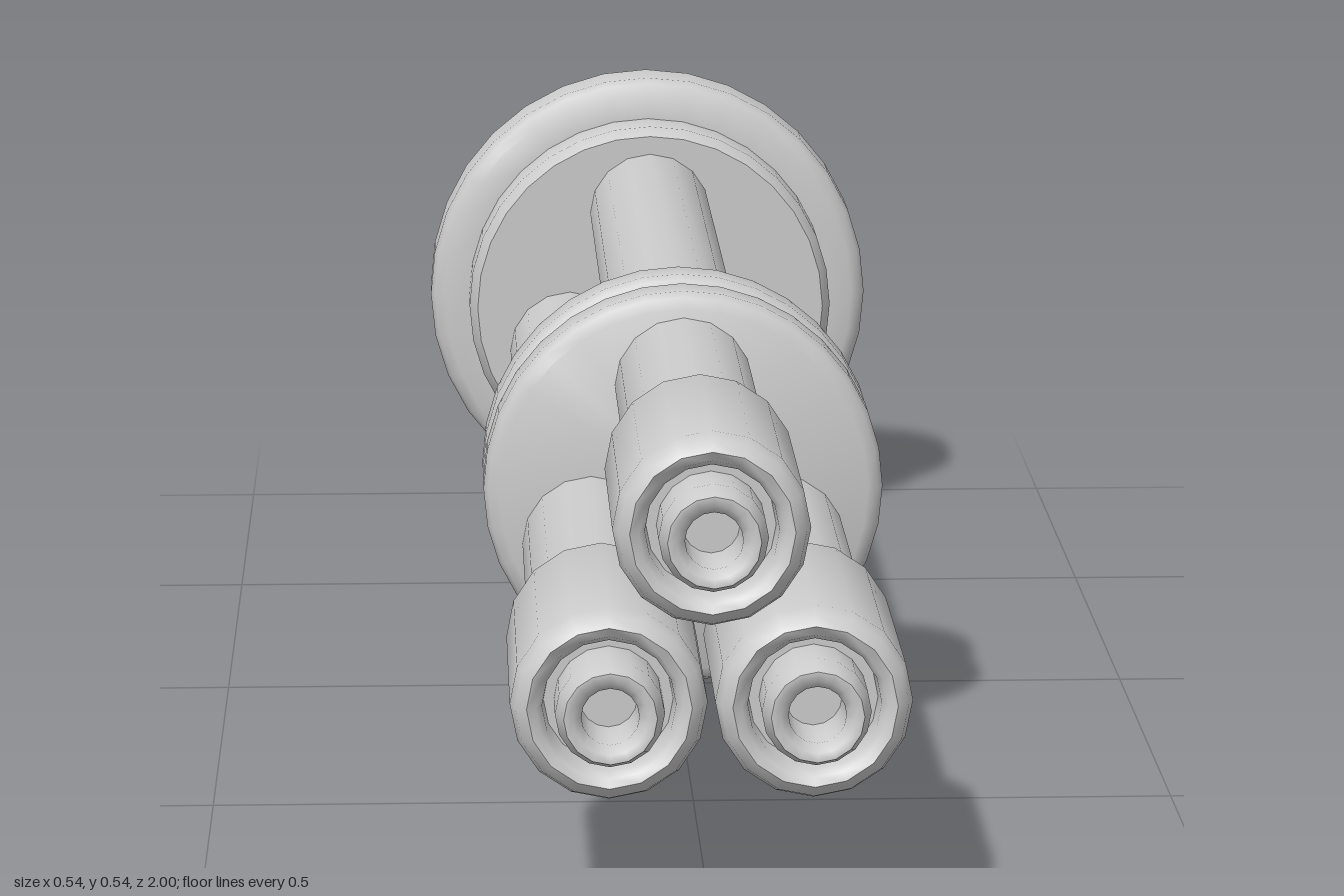
import * as THREE from 'three';
import { toCreasedNormals } from 'three/addons/utils/BufferGeometryUtils.js';

const AXIS_Y = 0.272;
const material = new THREE.MeshStandardMaterial({ color: 0xcccccc });
const shellMaterial = new THREE.MeshStandardMaterial({ color: 0xcccccc, side: THREE.DoubleSide });

// Turned part along z; the profile lists [radius, z] from back to front
function turned(name, profile, sides, mat = material) {
  const points = profile.map(([r, z]) => new THREE.Vector2(r, z));
  const geometry = new THREE.LatheGeometry(points, sides).rotateX(Math.PI / 2);
  const mesh = new THREE.Mesh(toCreasedNormals(geometry, 0.95), mat);
  mesh.name = name;
  return mesh;
}

// One barrel: long tube, thick muzzle sleeve and a bored nozzle
function barrel(name) {
  const group = new THREE.Group();
  group.name = name;
  group.add(
    turned('tube', [[0, -0.86], [0.074, -0.86], [0.074, 0.64]], 16),
    turned('muzzleSleeve', [
      [0.07, 0.61], [0.076, 0.61], [0.096, 0.66], [0.096, 0.935], [0.091, 0.951],
      [0.08, 0.96], [0.071, 0.957], [0.065, 0.945], [0.063, 0.92], [0.045, 0.92],
    ], 16),
    turned('nozzle', [
      [0.053, 0.915], [0.053, 0.978], [0.045, 1], [0.036, 1],
      [0.028, 0.99], [0.028, 0.92], [0, 0.92],
    ], 16),
  );
  return group;
}

export function createModel() {
  const model = new THREE.Group();
  model.name = 'barrelCluster';

  // Hollow stepped mount, open at the back
  const mount = turned('mount', [
    [0.272, -1], [0.272, -0.93], [0.267, -0.917], [0.255, -0.91], [0.224, -0.908],
    [0.224, -0.845], [0.214, -0.83], [0, -0.83],
  ], 32, shellMaterial);
  mount.position.y = AXIS_Y;
  model.add(mount);

  // Two clamp discs holding the barrels together
  [['rearClamp', 0.105], ['frontClamp', 0.205]].forEach(([name, z]) => {
    const clamp = turned(name, [
      [0, -0.04], [0.198, -0.04], [0.21, -0.034], [0.215, -0.022],
      [0.215, 0.022], [0.21, 0.034], [0.198, 0.04], [0, 0.04],
    ], 32);
    clamp.position.set(0, AXIS_Y + 0.003, z);
    model.add(clamp);
  });

  // Three barrels around the axis
  ['topBarrel', 'rightBarrel', 'leftBarrel'].forEach((name, i) => {
    const angle = Math.PI / 2 + (i * Math.PI * 2) / 3;
    const part = barrel(name);
    part.position.set(0.115 * Math.cos(angle), AXIS_Y + 0.003 + 0.115 * Math.sin(angle), 0);
    model.add(part);
  });

  return model;
}
